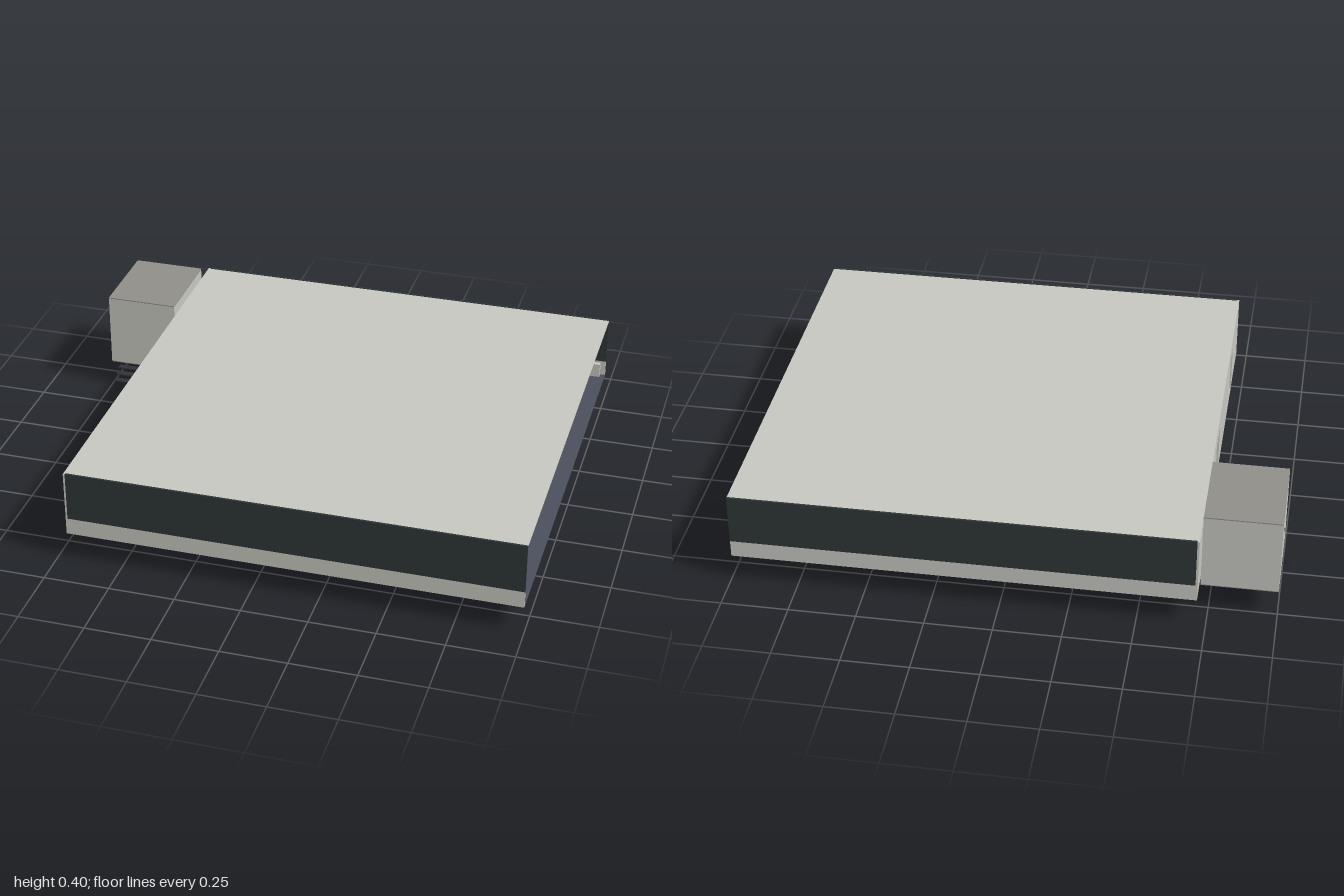
import * as THREE from 'three';

const mat = (name, color, side = THREE.FrontSide) => {
  const m = new THREE.MeshStandardMaterial({ color, side });
  m.name = name;
  return m;
};

export function createModel() {
  const wall = mat('pale wall', 0xc6c6c0);
  const gray = mat('warm gray', 0x8f8e88);
  const glass = mat('dark glass', 0x2d3635);
  const navy = mat('navy carpet', 0x4b4e5c);
  const dark = mat('dark trim', 0x303236);
  const model = new THREE.Group();

  // Box given by its limits on each axis
  const box = (name, m, x0, x1, y0, y1, z0, z1, parent = model) => {
    const mesh = new THREE.Mesh(new THREE.BoxGeometry(x1 - x0, y1 - y0, z1 - z0), m);
    mesh.position.set((x0 + x1) / 2, (y0 + y1) / 2, (z0 + z1) / 2);
    mesh.name = name;
    parent.add(mesh);
    return mesh;
  };
  const group = (name) => {
    const g = new THREE.Group();
    g.name = name;
    model.add(g);
    return g;
  };

  const X0 = -0.715, X1 = 0.995, F = 0.108, R = 0.36, Z = 0.848;

  // Floor and roof slabs
  box('floor', navy, X0, X1, 0.103, F, -Z + 0.003, Z - 0.003);
  box('roof', wall, X0, X1, R - 0.004, R, -Z, Z);

  // Long walls: pale sill below, glass band above, pilasters and heaters inside
  for (const s of [1, -1]) {
    const side = group(s > 0 ? 'frontWall' : 'backWall');
    const slab = (name, m, x0, x1, y0, y1, a, b) =>
      box(name, m, x0, x1, y0, y1, Math.min(s * a, s * b), Math.max(s * a, s * b), side);
    slab('sill', wall, X0, X1, 0.103, 0.17, Z - 0.006, Z);
    slab('windowBand', glass, X0 + 0.008, X1, 0.17, R + 0.002, Z - 0.006, Z + 0.002);
    slab('wallEnd', wall, X0, X0 + 0.008, 0.17, R, Z - 0.006, Z);
    slab('heater', wall, X0 + 0.02, X1 - 0.02, F, 0.165, Z - 0.03, Z - 0.012);
    for (let i = 1; i < 12; i++) {
      const x = X0 + i * (X1 - X0) / 12;
      slab('pilaster', wall, x - 0.012, x + 0.012, F, R - 0.004, Z - 0.025, Z - 0.006);
    }
  }

  // End wall with door openings; shape is drawn in (-z, y)
  const rect = (P, z0, z1, y0, y1) => {
    const p = new P();
    p.moveTo(-z1, y0); p.lineTo(-z0, y0); p.lineTo(-z0, y1); p.lineTo(-z1, y1); p.closePath();
    return p;
  };
  const endShape = rect(THREE.Shape, -Z, Z, 0.103, R - 0.002);
  endShape.holes.push(rect(THREE.Path, 0.47, 0.565, F, 0.3), rect(THREE.Path, -0.155, -0.02, F, 0.3));
  const endWall = new THREE.Mesh(
    new THREE.ExtrudeGeometry(endShape, { depth: 0.018, bevelEnabled: false }), wall);
  endWall.rotation.y = Math.PI / 2;
  endWall.position.x = X0;
  endWall.name = 'endWall';
  model.add(endWall);

  // Doors
  const inner = X0 + 0.018;
  box('sideDoor', gray, X0 + 0.009, inner - 0.003, F, 0.3, 0.47, 0.565);
  box('sideDoorHandle', dark, inner - 0.004, inner + 0.004, 0.247, 0.253, 0.505, 0.53);
  box('mainDoor', gray, X0 + 0.009, inner - 0.003, F, 0.3, -0.11, -0.02);
  box('doorSidelight', glass, X0 + 0.008, inner - 0.002, F, 0.297, -0.15, -0.113);
  box('doorPost', gray, X0 + 0.006, inner, F, 0.3, -0.155, -0.15);
  const tower = group('towerDoor');
  box('frameTop', gray, inner, inner + 0.004, 0.3, 0.304, -0.652, -0.558, tower);
  for (const z of [-0.652, -0.562]) box('frameSide', gray, inner, inner + 0.004, F, 0.3, z, z + 0.004, tower);
  box('handle', dark, inner, inner + 0.005, 0.278, 0.286, -0.578, -0.566, tower);
  for (const [z, y] of [[-0.635, 0.25], [-0.675, 0.242]])
    box('wallPanel', navy, inner, inner + 0.006, y - 0.012, y + 0.012, z - 0.013, z + 0.013);
  for (const z of [-0.11, -0.605])
    box('doorSign', gray, inner, inner + 0.008, 0.32, 0.334, z - 0.012, z + 0.012);
  // Skirting on the end wall
  for (const [a, b] of [[-Z + 0.01, -0.655], [-0.555, -0.16], [-0.018, 0.468], [0.567, Z - 0.01]])
    box('skirting', dark, inner, inner + 0.004, F, F + 0.007, a, b);

  // Stair tower: pale walls with gray top and underside
  box('towerWalls', wall, -1, -0.718, 0.106, 0.398, -0.755, -0.405);
  box('towerRoof', gray, -1, -0.718, 0.398, 0.402, -0.755, -0.405);
  box('towerBase', gray, -1, -0.718, 0.103, 0.106, -0.755, -0.405);
  box('towerButton', dark, -1.001, -0.999, 0.25, 0.265, -0.585, -0.575);

  // Open stair treads
  const stairs = group('stairs');
  for (let i = 0; i < 6; i++) {
    const y = i * 0.0172, z = -0.43 - i * 0.0262;
    box('tread', dark, -1, -0.892, y, y + 0.004, z - 0.013, z + 0.013, stairs);
  }

  // Two blocks of office cubicles with desks, screens and stools
  for (const s of [1, -1]) {
    const block = group('cubicles');
    const xa = -0.45, xb = 0.91, za = 0.2, zb = 0.657, n = 6, step = (xb - xa) / n;
    const slab = (name, m, x0, x1, y0, y1, a, b) =>
      box(name, m, x0, x1, y0, y1, Math.min(s * a, s * b), Math.max(s * a, s * b), block);
    slab('spine', navy, xa, xb, F, 0.225, 0.425, 0.433);
    for (let i = 0; i <= n; i++) {
      const x = xa + i * step;
      slab('partition', navy, x - 0.004, x + 0.004, F, 0.23, za, zb);
      if (i === n) break;
      for (const d of [-1, 1]) {
        const zc = 0.429, at = (o) => zc + d * o;
        const xm = x + step / 2;
        slab('desk', wall, x + 0.004, x + step - 0.004, 0.163, 0.169, at(0.005), at(0.085));
        slab('screen', dark, xm - 0.03, xm + 0.03, 0.18, 0.218, at(0.03), at(0.037));
        slab('screenFoot', dark, xm - 0.008, xm + 0.008, 0.169, 0.18, at(0.026), at(0.041));
        slab('seat', dark, xm - 0.022, xm + 0.022, 0.148, 0.155, at(0.1), at(0.145));
        slab('seatBack', dark, xm - 0.02, xm + 0.02, 0.155, 0.205, at(0.14), at(0.147));
        slab('seatPost', gray, xm - 0.005, xm + 0.005, F, 0.148, at(0.118), at(0.128));
        slab('returnPanel', navy, x, x + step * 0.45, F, 0.228, at(0.22), at(0.228));
      }
    }
    slab('lamp', dark, 0.4, 0.41, 0.225, 0.262, 0.425, 0.433);
  }

  // Central row: columns, low cabinets and a wider counter
  for (const x of [-0.35, 0.25]) box('column', wall, x - 0.025, x + 0.025, F, R - 0.004, -0.02, 0.028);
  for (const x of [-0.5, -0.18, 0.05, 0.42, 0.64, 0.86]) {
    box('cabinet', gray, x - 0.03, x + 0.03, F, 0.196, -0.02, 0.022);
    box('cabinetTop', wall, x - 0.032, x + 0.032, 0.196, 0.201, -0.022, 0.024);
  }
  box('counter', gray, 0.5, 0.76, F, 0.19, -0.108, -0.024);

  return model;
}
